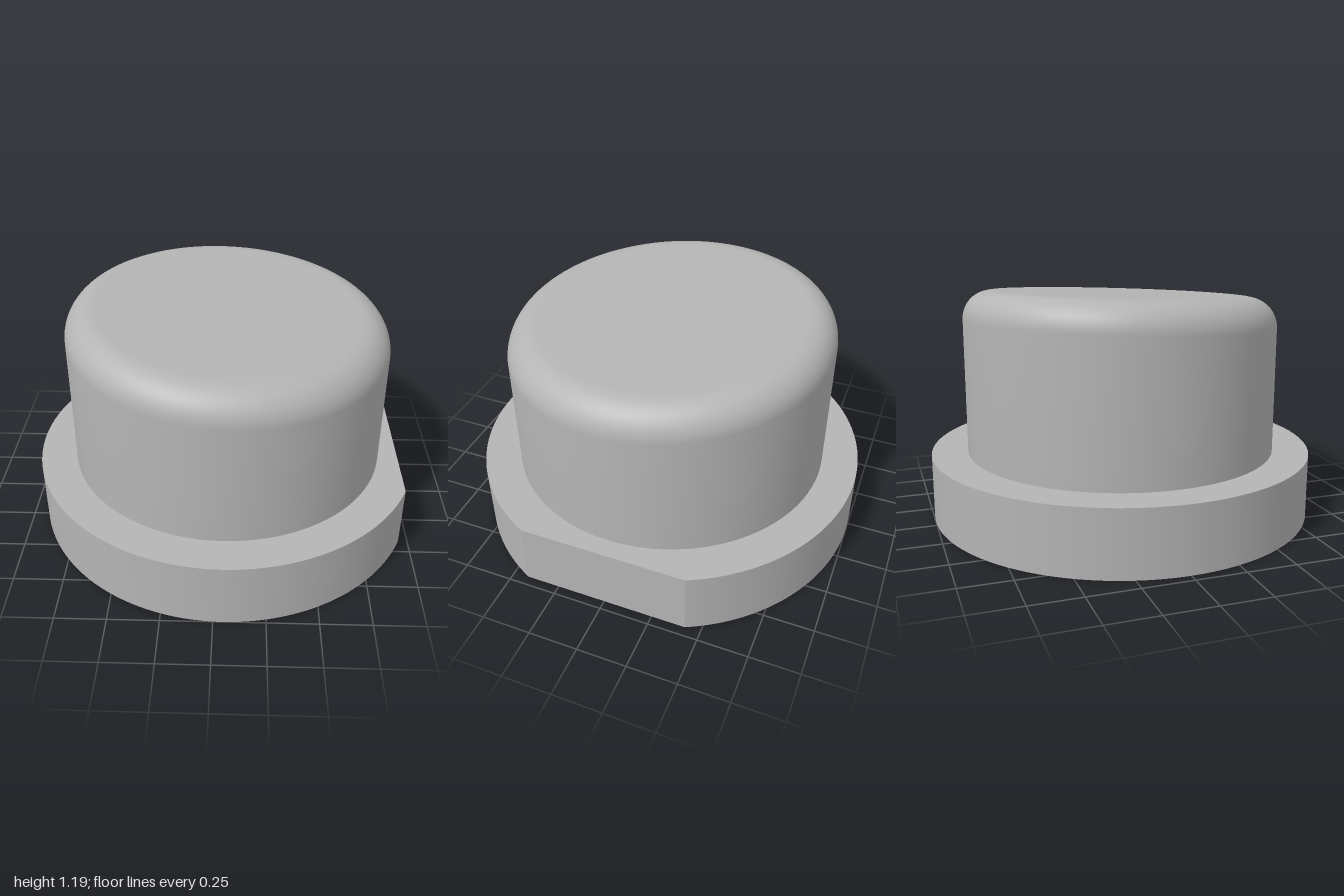
import * as THREE from 'three';
import { toCreasedNormals } from 'three/addons/utils/BufferGeometryUtils.js';

const CX = 0.046;          // axis of the round parts
const FLANGE_R = 1, FLANGE_H = 0.335, FLAT_X = 0.907;
const HOLE_R = 0.572, HOLE_DEPTH = 0.156;
const BODY_R = 0.813, TOP_Y = 1.148, FILLET = 0.15, SLOPE = 0.045;

export function createModel() {
  const group = new THREE.Group();
  const grey = new THREE.MeshStandardMaterial({ color: 0xb4b4b4 });
  grey.name = 'grey';

  const add = (name, geometry) => {
    const mesh = new THREE.Mesh(geometry, grey);
    mesh.name = name;
    mesh.position.x = CX;
    group.add(mesh);
    return mesh;
  };

  // Round flange with one flat side and a bored recess
  const cut = Math.acos(FLAT_X / FLANGE_R);
  const outline = new THREE.Shape();
  outline.absarc(0, 0, FLANGE_R, cut, Math.PI * 2 - cut, false);
  outline.closePath();
  const hole = new THREE.Path();
  hole.absarc(0, 0, HOLE_R, 0, Math.PI * 2, true);
  outline.holes.push(hole);
  const flange = new THREE.ExtrudeGeometry(outline, {
    depth: FLANGE_H, bevelEnabled: false, curveSegments: 96,
  });
  flange.rotateX(-Math.PI / 2);
  add('flange', toCreasedNormals(flange, 0.3));

  // Ceiling of the recess, facing down
  const ceiling = new THREE.CircleGeometry(HOLE_R, 96);
  ceiling.rotateX(Math.PI / 2);
  ceiling.translate(0, HOLE_DEPTH, 0);
  add('recessCeiling', ceiling);

  // Cylindrical body with a rounded rim
  const shoulder = TOP_Y - FILLET;
  const profile = [new THREE.Vector2(BODY_R, FLANGE_H)];
  const steps = 14;
  for (let i = 0; i <= steps; i++) {
    const t = (i / steps) * Math.PI / 2;
    profile.push(new THREE.Vector2(
      BODY_R - FILLET + FILLET * Math.cos(t), shoulder + FILLET * Math.sin(t)));
  }
  profile.push(new THREE.Vector2(BODY_R - FILLET - 0.02, TOP_Y), new THREE.Vector2(0, TOP_Y));
  const body = new THREE.LatheGeometry(profile, 96);

  // Tilt the top towards the front left corner, leaving the foot level
  const p = body.attributes.position;
  for (let i = 0; i < p.count; i++) {
    if (p.getY(i) > FLANGE_H + 0.01) {
      p.setY(i, p.getY(i) - SLOPE * (p.getX(i) + p.getZ(i)));
    }
  }
  add('body', toCreasedNormals(body, 0.5));

  return group;
}
